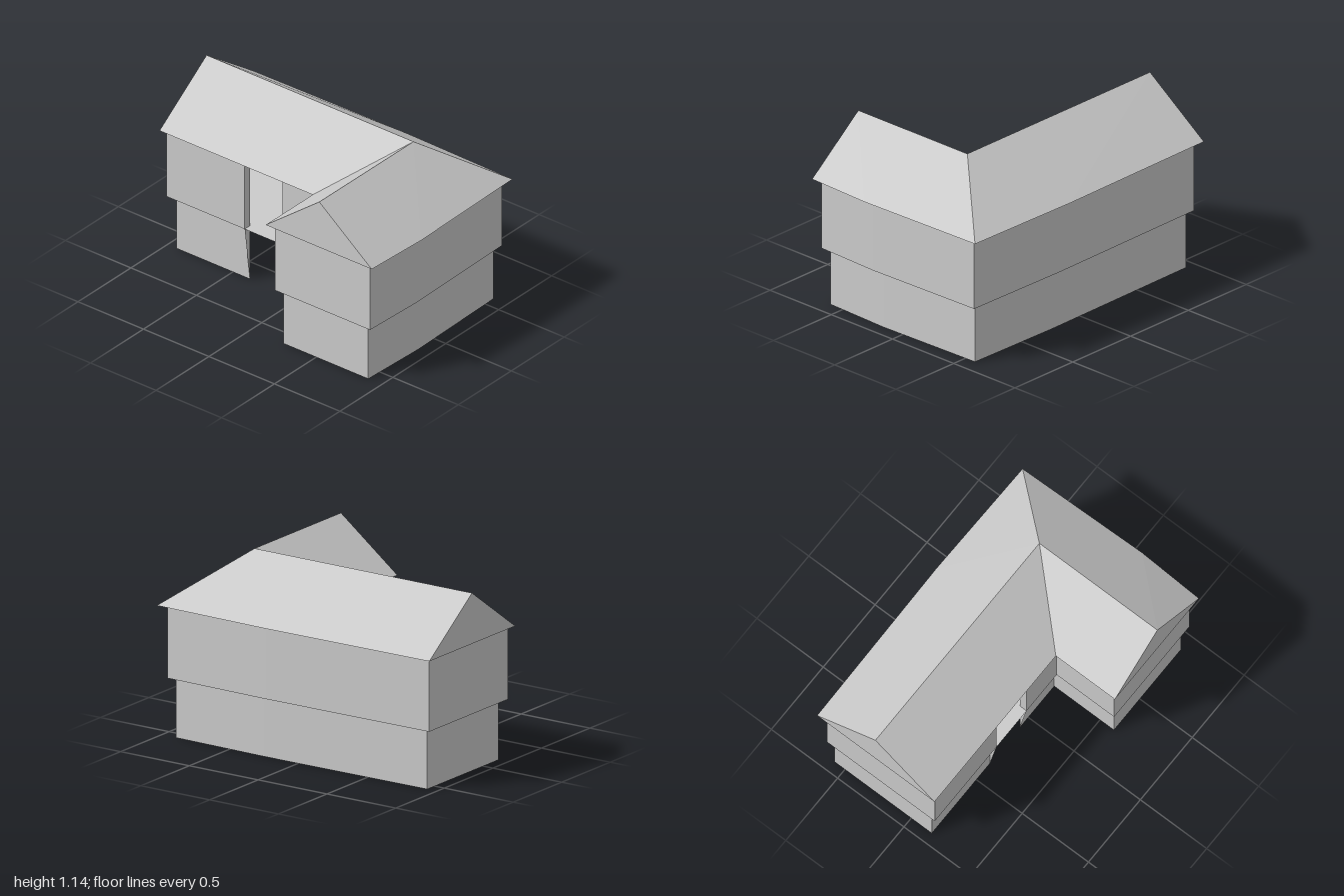
import * as THREE from 'three';

const material = new THREE.MeshStandardMaterial({ color: 0xcccccc, flatShading: true, side: THREE.DoubleSide });

// Mesh from flat convex faces, each a counter-clockwise list of [x, y, z] corners
function facesMesh(name, faces) {
  const positions = [];
  for (const f of faces) {
    for (let i = 1; i < f.length - 1; i++) positions.push(...f[0], ...f[i], ...f[i + 1]);
  }
  const geometry = new THREE.BufferGeometry();
  geometry.setAttribute('position', new THREE.Float32BufferAttribute(positions, 3));
  geometry.computeVertexNormals();
  const mesh = new THREE.Mesh(geometry, material);
  mesh.name = name;
  return mesh;
}

// Horizontal slab filling an [x, z] outline
function slab(name, outline, y) {
  const shape = new THREE.Shape(outline.map(([x, z]) => new THREE.Vector2(x, -z)));
  const mesh = new THREE.Mesh(new THREE.ShapeGeometry(shape).rotateX(-Math.PI / 2), material);
  mesh.position.y = y;
  mesh.name = name;
  return mesh;
}

// L-shaped plan whose two long outer sides bow out slightly at their middle
function plan({ left, right, bowX, front, bowZ, back, innerX, innerZ }) {
  return [
    [left, front], [innerX, bowZ], [right, front], [bowX, innerZ],
    [right, back], [innerX, back], [innerX, innerZ], [left, innerZ],
  ];
}

const GAP = [-0.37, -0.08]; // passage opening in the courtyard wall, along z

// Walls of one storey, leaving the passage open
function walls(name, outline, y0, y1) {
  const x = outline[5][0];
  const loop = [...outline.slice(0, 6), [x, GAP[0]], [x, GAP[1]], ...outline.slice(6)];
  const faces = [];
  loop.forEach(([ax, az], i) => {
    if (i === 6) return;
    const [bx, bz] = loop[(i + 1) % loop.length];
    faces.push([[ax, y0, az], [bx, y0, bz], [bx, y1, bz], [ax, y1, az]]);
  });
  return facesMesh(name, faces);
}

export function createModel() {
  const house = new THREE.Group();
  house.name = 'house';
  const Y1 = 0.37, EAVE = 0.825, RIDGE = 1.14;

  const lower = plan({ left: -0.605, right: 0.577, bowX: 0.59, front: 0.897, bowZ: 0.915, back: -0.93, innerX: -0.155, innerZ: 0.25 });
  const upper = plan({ left: -0.638, right: 0.607, bowX: 0.62, front: 0.937, bowZ: 0.955, back: -0.965, innerX: -0.205, innerZ: 0.21 });
  const eaves = plan({ left: -0.675, right: 0.655, bowX: 0.67, front: 0.98, bowZ: 1.0, back: -1, innerX: -0.23, innerZ: 0.17 });

  // Storeys, each overhanging the one below
  house.add(walls('lowerWalls', lower, 0, Y1));
  house.add(slab('upperFloor', upper, Y1));
  house.add(walls('upperWalls', upper, Y1, EAVE));
  house.add(slab('eavesUnderside', eaves, EAVE));

  // Passage jambs: a bracket below and a narrow return above
  const xl = lower[5][0], xu = upper[5][0];
  const jambs = [];
  for (const z of GAP) {
    jambs.push([[xl, 0, z], [xu, Y1, z], [xl, Y1, z]]);
    jambs.push([[xl, Y1, z], [xu, Y1, z], [xu, EAVE, z], [xl, EAVE, z]]);
  }
  house.add(facesMesh('passageJambs', jambs));

  // Roof: ridge runs along both wings and meets at the hip and valley
  const [a, b, c, d, e, f, g, h] = eaves.map(([x, z]) => [x, EAVE, z]);
  const r0 = [-0.675, RIDGE, 0.58], r1 = [0.215, RIDGE, 0.58], r2 = [0.215, RIDGE, -1];
  house.add(facesMesh('roof', [
    [a, b, r0], [b, r1, r0], [b, c, r1],
    [c, d, r1], [d, r2, r1], [d, e, r2],
    [f, g, r1, r2], [g, h, r0, r1],
  ]));
  house.add(facesMesh('gables', [[e, f, r2], [h, a, r0]]));

  return house;
}
